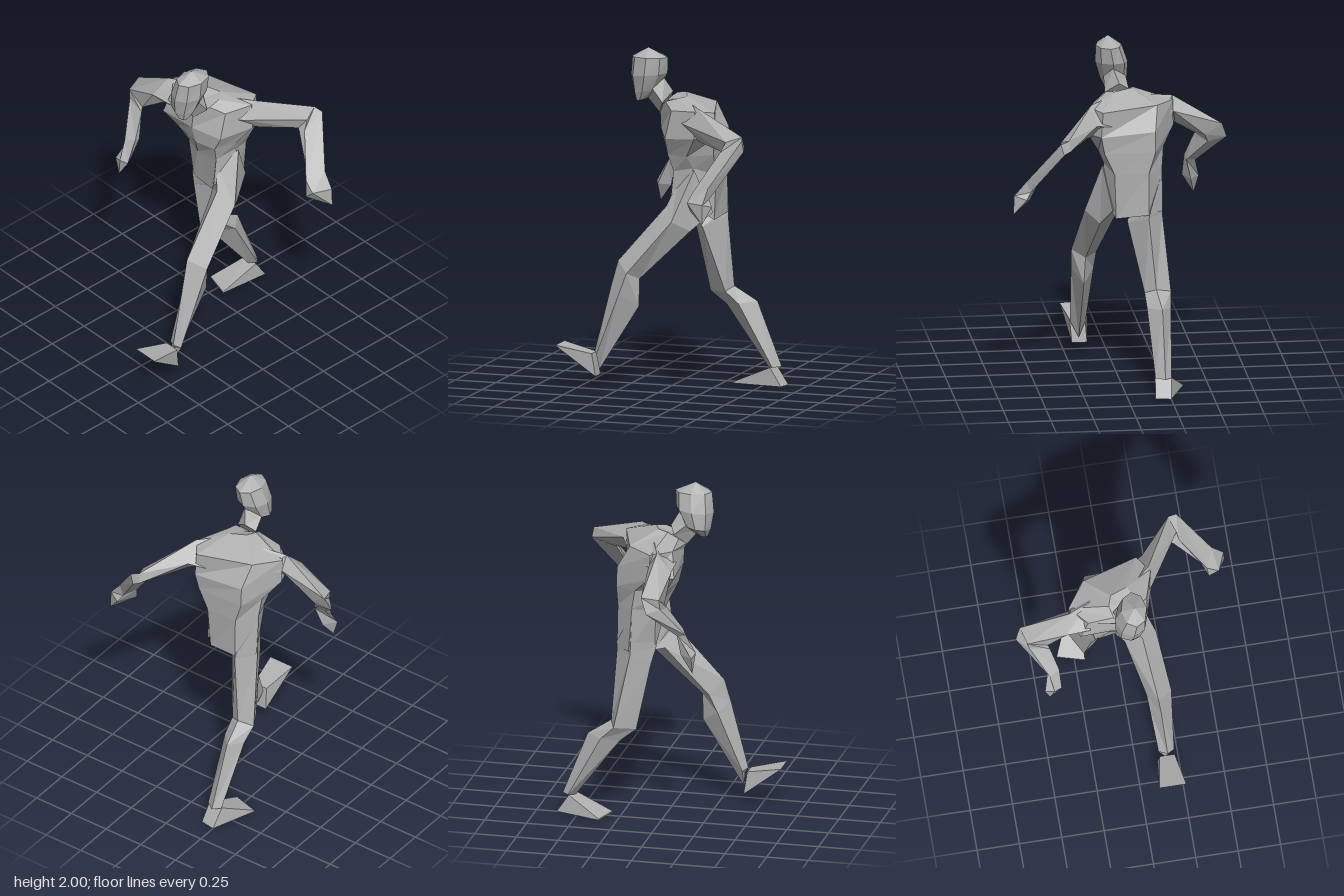
import * as THREE from 'three';

const grey = new THREE.MeshStandardMaterial({ color: 0xb0b0b0, flatShading: true });
grey.name = 'plain grey';

const centre = (ring) => [0, 1, 2].map((k) => ring.reduce((s, p) => s + p[k], 0) / ring.length);

// Skins a row of cross-sections and closes both ends with a fan to a point.
function loft(name, rings, endTip = centre(rings[rings.length - 1])) {
  const n = rings[0].length;
  const last = rings.length - 1;
  const startTip = centre(rings[0]);
  const tris = [];
  for (let j = 0; j < n; j++) {
    const k = (j + 1) % n;
    tris.push([startTip, rings[0][k], rings[0][j]]);
    for (let i = 0; i < last; i++) {
      const [a, b, c, d] = [rings[i][j], rings[i][k], rings[i + 1][k], rings[i + 1][j]];
      tris.push([a, b, c], [a, c, d]);
    }
    tris.push([endTip, rings[last][j], rings[last][k]]);
  }
  // Turn the faces outward whichever way the sections run.
  const volume = tris.reduce((s, [a, b, c]) => s + new THREE.Vector3(...a)
    .dot(new THREE.Vector3(...b).cross(new THREE.Vector3(...c))), 0);
  if (volume < 0) tris.forEach((t) => t.reverse());

  const geometry = new THREE.BufferGeometry();
  geometry.setAttribute('position', new THREE.Float32BufferAttribute(tris.flat(2), 3));
  geometry.computeVertexNormals();
  const mesh = new THREE.Mesh(geometry, grey);
  mesh.name = name;
  return mesh;
}

// Eight-sided section: centre x, y, z, half width, half depth, forward slope.
function oval([x, y, z, rx, rz, slope]) {
  return Array.from({ length: 8 }, (_, i) => {
    const a = (i * Math.PI) / 4;
    return [x + rx * Math.sin(a), y + slope * Math.cos(a), z + rz * Math.cos(a)];
  });
}

export function createModel() {
  const figure = new THREE.Group();
  figure.name = 'stridingFigure';

  // Torso: front, front left, left, back left, back right, right, front right
  figure.add(loft('torso', [
    [[-0.05, 0.96, -0.1], [0.06, 1.1, -0.01], [0.1, 1.1, -0.14], [0.03, 1.0, -0.27],
      [-0.16, 1.02, -0.29], [-0.25, 1.02, -0.2], [-0.17, 1.02, -0.06]],
    [[-0.08, 1.27, -0.01], [0.06, 1.28, -0.03], [0.09, 1.31, -0.16], [0.04, 1.27, -0.285],
      [-0.16, 1.27, -0.285], [-0.25, 1.28, -0.18], [-0.2, 1.27, -0.05]],
    [[-0.03, 1.4, 0.05], [0.08, 1.38, 0], [0.12, 1.38, -0.13], [0.1, 1.4, -0.29],
      [-0.2, 1.4, -0.285], [-0.26, 1.4, -0.16], [-0.22, 1.4, 0.02]],
    [[-0.03, 1.52, 0.08], [0.13, 1.48, 0], [0.19, 1.5, -0.2], [0.12, 1.5, -0.3],
      [-0.2, 1.52, -0.28], [-0.33, 1.5, -0.06], [-0.28, 1.5, 0.08]],
    [[-0.02, 1.6, 0.08], [0.13, 1.65, -0.04], [0.18, 1.66, -0.2], [0.11, 1.65, -0.3],
      [-0.22, 1.66, -0.2], [-0.33, 1.65, -0.05], [-0.23, 1.65, 0.06]],
    [[-0.01, 1.63, 0.09], [0.06, 1.69, 0.02], [0.06, 1.71, -0.05], [0.02, 1.72, -0.1],
      [-0.08, 1.73, -0.06], [-0.1, 1.72, 0], [-0.08, 1.68, 0.06]],
  ]));

  // Neck
  figure.add(loft('neck', [
    [[-0.01, 1.61, 0.08], [0.06, 1.68, 0.04], [-0.02, 1.74, 0], [-0.08, 1.7, 0.03]],
    [[0, 1.72, 0.17], [0.06, 1.76, 0.1], [0.01, 1.82, 0.045], [-0.07, 1.76, 0.1]],
  ]));

  // Head, from chin to crown
  figure.add(loft('head', [
    [0.01, 1.685, 0.185, 0.04, 0.03, -0.005],
    [-0.005, 1.74, 0.16, 0.08, 0.075, -0.01],
    [0.01, 1.84, 0.137, 0.095, 0.113, -0.01],
    [0.028, 1.945, 0.125, 0.076, 0.11, 0],
  ].map(oval), [0.03, 2, 0.135]));

  // Arms: top, front, bottom, back, from shoulder to hand
  figure.add(loft('rightArm', [
    [[-0.2, 1.69, -0.06], [-0.22, 1.58, 0.08], [-0.24, 1.5, -0.02], [-0.24, 1.58, -0.2]],
    [[-0.33, 1.665, -0.01], [-0.365, 1.57, 0.085], [-0.35, 1.49, 0.02], [-0.33, 1.58, -0.06]],
    [[-0.62, 1.49, -0.035], [-0.59, 1.47, 0.065], [-0.47, 1.41, 0.07], [-0.52, 1.42, -0.02]],
    [[-0.65, 1.4, 0], [-0.58, 1.41, 0.07], [-0.46, 1.385, 0.085], [-0.54, 1.37, 0.01]],
    [[-0.485, 1.22, 0.155], [-0.48, 1.23, 0.2], [-0.42, 1.25, 0.17], [-0.43, 1.23, 0.13]],
    [[-0.515, 1.1, 0.24], [-0.46, 1.12, 0.255], [-0.415, 1.11, 0.235], [-0.46, 1.1, 0.165]],
  ], [-0.485, 1, 0.24]));

  figure.add(loft('leftArm', [
    [[0.08, 1.69, -0.14], [0.1, 1.6, -0.04], [0.1, 1.49, -0.16], [0.05, 1.56, -0.28]],
    [[0.17, 1.68, -0.22], [0.18, 1.58, -0.14], [0.2, 1.485, -0.25], [0.15, 1.58, -0.33]],
    [[0.34, 1.56, -0.55], [0.375, 1.53, -0.46], [0.33, 1.46, -0.43], [0.33, 1.5, -0.56]],
    [[0.39, 1.545, -0.565], [0.385, 1.47, -0.43], [0.35, 1.45, -0.42], [0.37, 1.48, -0.57]],
    [[0.575, 1.285, -0.42], [0.53, 1.25, -0.31], [0.5, 1.245, -0.35], [0.55, 1.22, -0.42]],
    [[0.645, 1.2, -0.41], [0.6, 1.2, -0.3], [0.54, 1.14, -0.3], [0.575, 1.18, -0.445]],
  ], [0.65, 1.085, -0.41]));

  // Legs: front, outer, back, inner, from hip to ankle
  figure.add(loft('leftLeg', [
    [[0.04, 1.22, -0.05], [0.1, 1.3, -0.17], [0.05, 1.05, -0.27], [-0.05, 0.97, -0.1]],
    [[0.1, 1.08, 0], [0.19, 1.0, -0.06], [0.11, 0.94, -0.15], [0, 0.97, -0.04]],
    [[0.15, 0.75, 0.28], [0.237, 0.69, 0.2], [0.16, 0.65, 0.145], [0.09, 0.67, 0.2]],
    [[0.16, 0.62, 0.315], [0.233, 0.56, 0.25], [0.17, 0.49, 0.145], [0.1, 0.56, 0.25]],
    [[0.18, 0.21, 0.415], [0.222, 0.2, 0.39], [0.17, 0.1, 0.39], [0.13, 0.2, 0.39]],
  ]));

  figure.add(loft('rightLeg', [
    [[-0.17, 1.04, -0.05], [-0.25, 1.25, -0.18], [-0.17, 1.05, -0.29], [-0.05, 0.96, -0.15]],
    [[-0.19, 0.93, -0.08], [-0.25, 1.0, -0.19], [-0.16, 1.0, -0.29], [-0.05, 0.94, -0.17]],
    [[-0.22, 0.535, -0.16], [-0.29, 0.555, -0.28], [-0.2, 0.575, -0.315], [-0.135, 0.55, -0.28]],
    [[-0.23, 0.46, -0.255], [-0.28, 0.48, -0.36], [-0.22, 0.49, -0.45], [-0.14, 0.48, -0.36]],
    [[-0.21, 0.1, -0.525], [-0.26, 0.11, -0.56], [-0.22, 0.11, -0.6], [-0.165, 0.11, -0.56]],
  ]));

  // Feet: wedges from heel to toe
  figure.add(loft('leftFoot', [
    [[0.13, 0.2, 0.42], [0.22, 0.2, 0.42], [0.21, 0.065, 0.4], [0.12, 0.065, 0.4]],
    [[0.095, 0.245, 0.63], [0.255, 0.245, 0.63], [0.25, 0.232, 0.62], [0.1, 0.232, 0.62]],
  ]));
  figure.add(loft('rightFoot', [
    [[-0.26, 0.11, -0.555], [-0.165, 0.11, -0.545], [-0.16, 0, -0.615], [-0.25, 0, -0.63]],
    [[-0.35, 0.008, -0.355], [-0.19, 0.008, -0.31], [-0.19, 0, -0.31], [-0.35, 0, -0.355]],
  ]));

  return figure;
}
